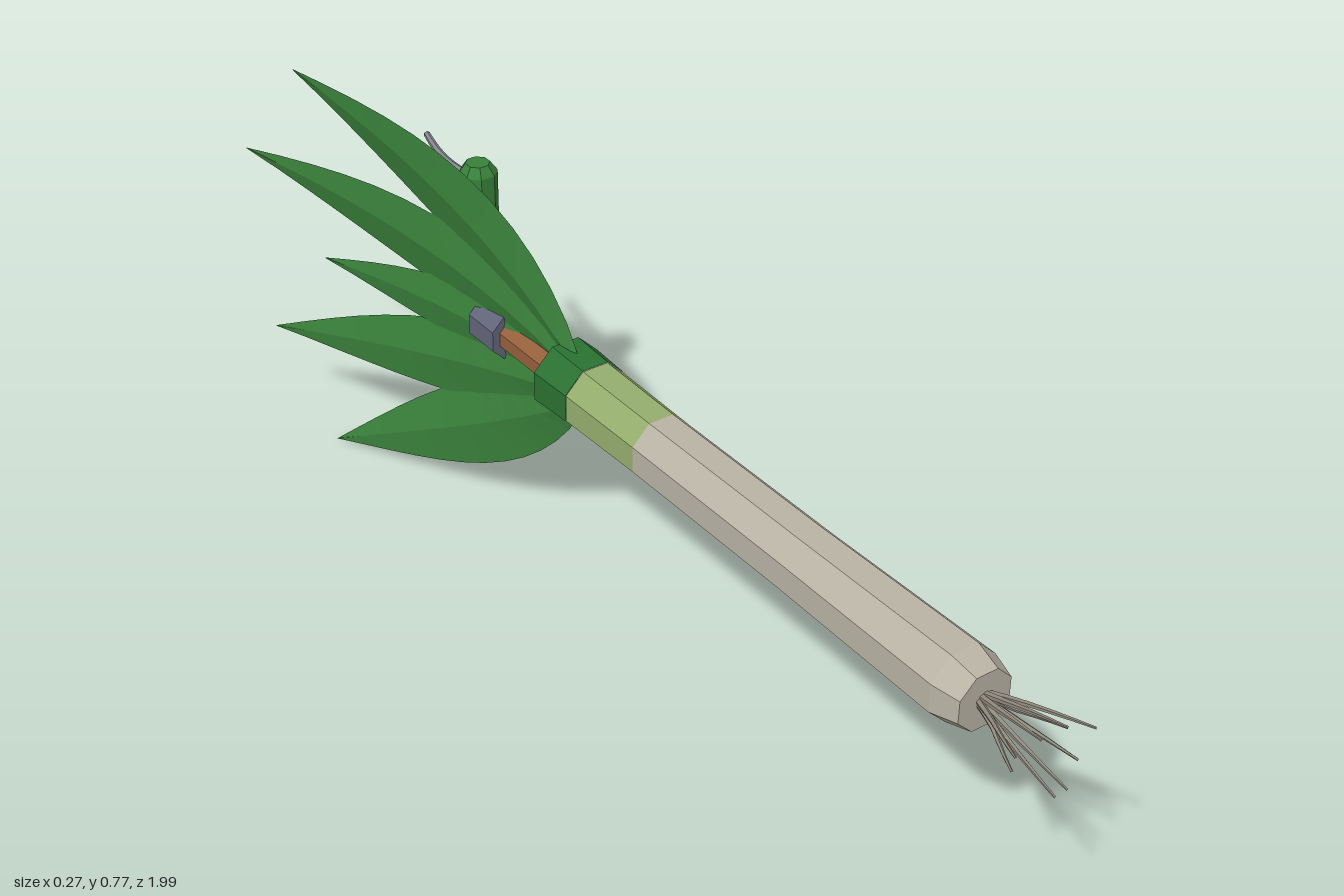
import * as THREE from 'three';

const AX = 0.067, AY = 0.38; // long axis of the tool

function mat(name, color) {
  const m = new THREE.MeshStandardMaterial({ color, flatShading: true });
  m.name = name;
  return m;
}

export function createModel() {
  const group = new THREE.Group();
  const white = mat('stalk white', 0xb9b3a5);
  const pale = mat('pale green', 0x94ad6c);
  const green = mat('collar green', 0x2a7132);
  const leafGreen = mat('leaf green', 0x39803a);
  const wood = mat('wood', 0x96603c);
  const iron = mat('dark iron', 0x62647a);
  const steel = mat('tine steel', 0x85858f);
  const rootMat = mat('root grey', 0x8f897c);

  const add = (name, geo, material, parent = group) => {
    const mesh = new THREE.Mesh(geo, material);
    mesh.name = name;
    parent.add(mesh);
    return mesh;
  };
  // faceted solid along z from [radius, z] points, front to back
  const turned = (name, points, material, sides = 8) => {
    const pts = [...points].reverse().map(([r, z]) => new THREE.Vector2(r, z));
    const geo = new THREE.LatheGeometry(pts, sides);
    geo.rotateY(Math.PI / sides).rotateX(Math.PI / 2).translate(AX, AY, 0);
    return add(name, geo, material);
  };
  // tapered rod along a curve
  const rod = (name, points, r0, r1, material, parent, segs = 5, sides = 5) => {
    const curve = new THREE.CatmullRomCurve3(points.map(p => new THREE.Vector3(...p)));
    const geo = new THREE.TubeGeometry(curve, segs, 1, sides);
    const p = geo.attributes.position, v = new THREE.Vector3();
    for (let i = 0; i < p.count; i++) {
      const t = Math.floor(i / (sides + 1)) / segs;
      const c = curve.getPointAt(t);
      v.fromBufferAttribute(p, i).sub(c).multiplyScalar(r0 + (r1 - r0) * t).add(c);
      p.setXYZ(i, v.x, v.y, v.z);
    }
    return add(name, geo, material, parent);
  };

  // stalk
  turned('stalk', [[0, 0.82], [0.054, 0.82], [0.068, 0.77], [0.063, 0.4], [0.063, 0.02]], white);
  turned('paleStalk', [[0.063, 0.02], [0.066, -0.17]], pale);
  turned('collar', [[0.067, -0.17], [0.071, -0.26], [0, -0.26]], green);

  // handle core and ferrule
  turned('woodHandle', [[0.034, -0.24], [0.034, -0.5], [0.012, -0.568], [0, -0.568]], wood);
  turned('ferrule', [[0, -0.42], [0.05, -0.42], [0.05, -0.497], [0, -0.497]], iron);

  // rake bar with chamfered ends
  const barPts = [[0, 0.082], [0.022, 0.082], [0.035, 0.1], [0.035, 0.657], [0.022, 0.675], [0, 0.675]];
  const bar = new THREE.LatheGeometry(barPts.map(p => new THREE.Vector2(...p)), 8);
  bar.rotateY(Math.PI / 8).translate(0.07, 0, -0.53);
  add('rakeBar', bar, leafGreen);

  // four tines either side of the handle
  const tines = new THREE.Group();
  tines.name = 'tines';
  group.add(tines);
  for (let i = -4; i <= 4; i++) {
    if (i === 0) continue;
    const y = AY + i * 0.0642;
    rod('tine', [[0.067, y, -0.54], [0.066, y, -0.62], [0.074, y, -0.67], [0.092, y, -0.735]],
      0.009, 0.006, steel, tines, 6, 6);
  }

  // roots fanning from the bulb end
  const roots = new THREE.Group();
  roots.name = 'roots';
  group.add(roots);
  for (let i = 0; i < 9; i++) {
    const a = i * Math.PI * 2 / 9 + 0.1;
    const R = 0.052 + 0.014 * ((i * 5) % 3) / 2;
    const end = 0.94 + 0.058 * ((i * 4) % 5) / 4;
    const at = (r, z) => [AX + Math.cos(a) * r, AY + Math.sin(a) * r, z];
    rod('root', [at(0.008, 0.81), at(R * 0.4, 0.86), at(R * 0.72, (0.86 + end) / 2), at(R, end)],
      0.006, 0.002, rootMat, roots);
  }

  // leaf: thin folded blade curving sideways to its tip
  const leaf = (tip, baseY, width, bow) => {
    const N = 12, pos = [], index = [];
    const dz = tip[2] + 0.22, dy = tip[1] - baseY, len = Math.hypot(dz, dy);
    const sy = -dz / len, sz = dy / len; // across the blade
    for (let i = 0; i <= N; i++) {
      const t = i / N;
      const s = Math.sin(Math.PI * Math.pow(t, 0.88));
      const w = width * s + 0.016 * (1 - t) + 0.0005;
      const x = 0.062 + (tip[0] - 0.062) * Math.pow(t, 1.8);
      const y = baseY + dy * t + sy * bow * s, z = -0.22 + dz * t + sz * bow * s;
      const cup = 0.12 * w, th = 0.006 * (1 - t) + 0.001;
      pos.push(x + cup, y + sy * w, z + sz * w, x + th, y, z,
        x + cup, y - sy * w, z - sz * w, x - th, y, z);
      if (i === N) continue;
      for (let k = 0; k < 4; k++) {
        const a = i * 4 + k, b = i * 4 + (k + 1) % 4;
        index.push(a, b, b + 4, a, b + 4, a + 4);
      }
    }
    index.push(0, 3, 2, 0, 2, 1);
    const geo = new THREE.BufferGeometry();
    geo.setAttribute('position', new THREE.Float32BufferAttribute(pos, 3));
    geo.setIndex(index);
    geo.computeVertexNormals();
    add('leaf', geo, leafGreen);
  };
  leaf([-0.108, 0.775, -0.85], 0.42, 0.07, 0.015);
  leaf([-0.14, 0.568, -0.995], 0.4, 0.064, 0.008);
  leaf([-0.07, 0.38, -0.85], 0.38, 0.052, 0);
  leaf([-0.125, 0.195, -0.965], 0.36, 0.064, -0.008);
  leaf([-0.09, 0.003, -0.815], 0.34, 0.07, -0.015);

  return group;
}
